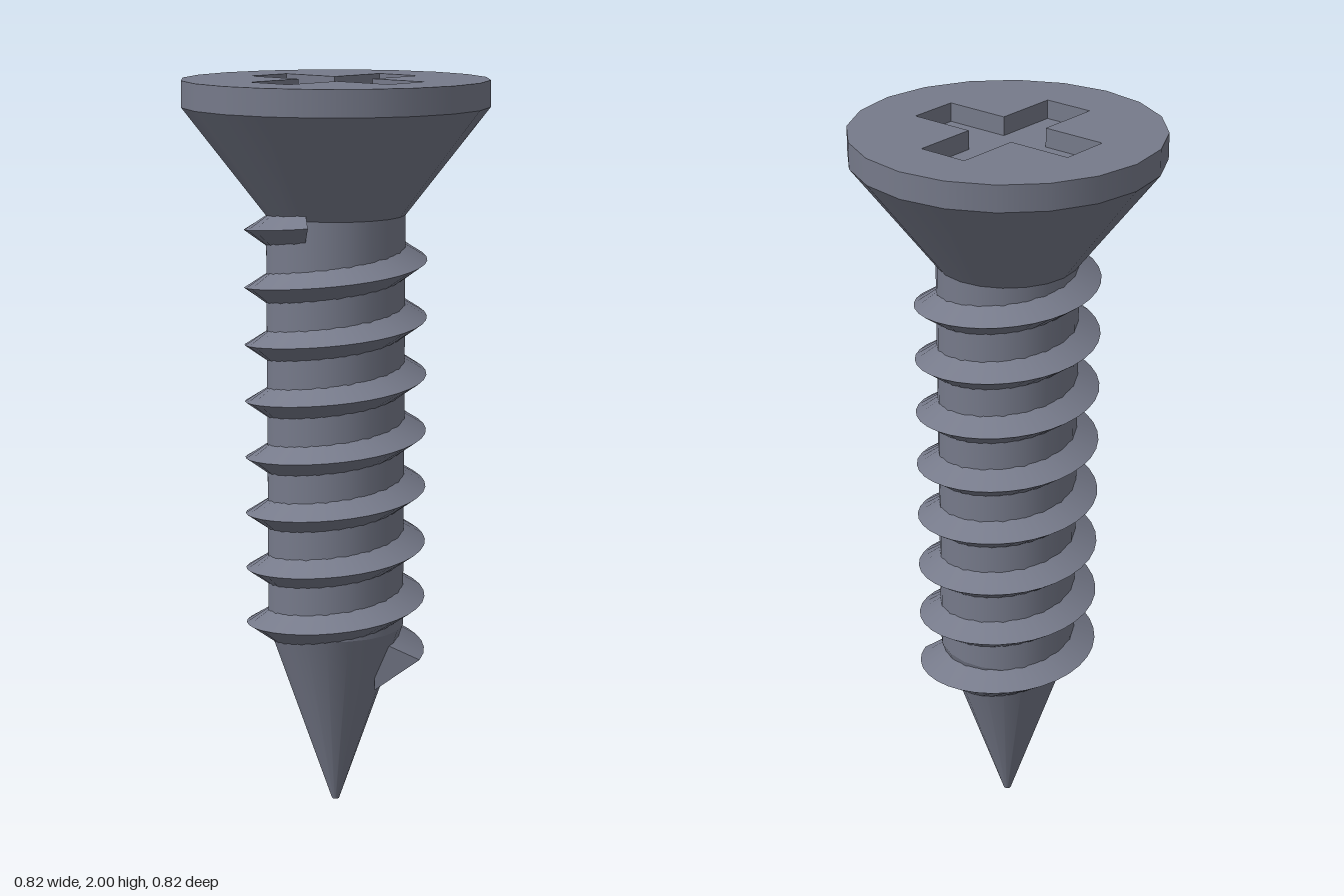
import * as THREE from 'three';

const SIDES = 20;
const HEAD_R = 0.408, SHANK_R = 0.187;
const PITCH = 0.155, THREAD_Y = 0.422;

function named(name, geometry, material) {
  const mesh = new THREE.Mesh(geometry, material);
  mesh.name = name;
  return mesh;
}

// Open-ended round section between two heights
function section(name, rTop, rBottom, y0, y1, material) {
  const g = new THREE.CylinderGeometry(rTop, rBottom, y1 - y0, SIDES, 1, true);
  g.translate(0, (y0 + y1) / 2, 0);
  return named(name, g, material);
}

// Outline of the cross-shaped drive recess
function crossPoints(arm, half) {
  const pts = [];
  for (let k = 0; k < 4; k++) {
    for (const [x, y] of [[arm, -half], [arm, half], [half, half]]) {
      pts.push(new THREE.Vector2(x, y).rotateAround(new THREE.Vector2(), k * Math.PI / 2));
    }
  }
  return pts;
}

function flatShape(shape, y) {
  return new THREE.ShapeGeometry(shape).rotateX(-Math.PI / 2).translate(0, y, 0);
}

// Point on the helical thread; the root trails behind the crest
function threadPoint(angle, [radius, dy, lag]) {
  const a = angle - lag;
  return [radius * Math.cos(a), THREAD_Y + PITCH * angle / (2 * Math.PI) + dy, -radius * Math.sin(a)];
}

// One flank of the thread, swept between two profile points
function flank(p, q, start, end, steps) {
  const pos = [], idx = [];
  for (let i = 0; i <= steps; i++) {
    const t = start + (end - start) * i / steps;
    pos.push(...threadPoint(t, p), ...threadPoint(t, q));
    if (i < steps) {
      const a = i * 2;
      idx.push(a, a + 1, a + 2, a + 1, a + 3, a + 2);
    }
  }
  return triangles(pos, idx);
}

function triangles(pos, idx) {
  const g = new THREE.BufferGeometry();
  g.setAttribute('position', new THREE.Float32BufferAttribute(pos, 3));
  g.setIndex(idx);
  g.computeVertexNormals();
  return g;
}

export function createModel() {
  const model = new THREE.Group();
  model.name = 'screw';
  const steel = new THREE.MeshStandardMaterial({ color: 0x767a8a, side: THREE.DoubleSide });
  steel.name = 'grey steel';

  // Head: flat top with a cross opening, thin rim and countersunk cone
  const head = new THREE.Group();
  head.name = 'head';
  const cross = crossPoints(0.248, 0.069);
  const disc = new THREE.Shape(Array.from({ length: SIDES }, (_, i) => {
    const a = i / SIDES * Math.PI * 2;
    return new THREE.Vector2(HEAD_R * Math.cos(a), HEAD_R * Math.sin(a));
  }));
  disc.holes.push(new THREE.Path(cross));
  head.add(
    named('headTop', flatShape(disc, 2), steel),
    section('headRim', HEAD_R, HEAD_R, 1.93, 2, steel),
    section('headCone', HEAD_R, SHANK_R, 1.645, 1.93, steel),
  );

  // Drive recess: floor and twelve walls facing inward
  const depth = 0.05;
  head.add(named('recessFloor', flatShape(new THREE.Shape(cross), 2 - depth), steel));
  cross.forEach((a, i) => {
    const b = cross[(i + 1) % cross.length];
    const g = triangles([
      a.x, 2, -a.y, b.x, 2, -b.y, b.x, 2 - depth, -b.y, a.x, 2 - depth, -a.y,
    ], [0, 1, 2, 0, 2, 3]);
    head.add(named('recessWall', g, steel));
  });
  model.add(head);

  // Shank and tapered point
  model.add(
    section('shank', SHANK_R, SHANK_R, 0.515, 1.645, steel),
    section('point', SHANK_R, 0.01, 0, 0.515, steel),
    named('tip', new THREE.CircleGeometry(0.01, SIDES).rotateX(Math.PI / 2), steel),
  );

  // Thread: two flanks meeting at a sharp crest, closed at both ends
  const thread = new THREE.Group();
  thread.name = 'thread';
  const crest = [0.245, 0, 0], low = [0.14, -0.085, 0.35], high = [0.14, 0.06, 0.35];
  const start = 0.4, end = 15.5 * Math.PI + 0.46;
  thread.add(
    named('upperFlank', flank(high, crest, start, end, 260), steel),
    named('lowerFlank', flank(crest, low, start, end, 260), steel),
  );
  for (const [name, angle, order] of [['threadStart', start, [0, 1, 2]], ['threadEnd', end, [0, 2, 1]]]) {
    const pos = [low, crest, high].flatMap((p) => threadPoint(angle, p));
    thread.add(named(name, triangles(pos, order), steel));
  }
  model.add(thread);

  return model;
}
